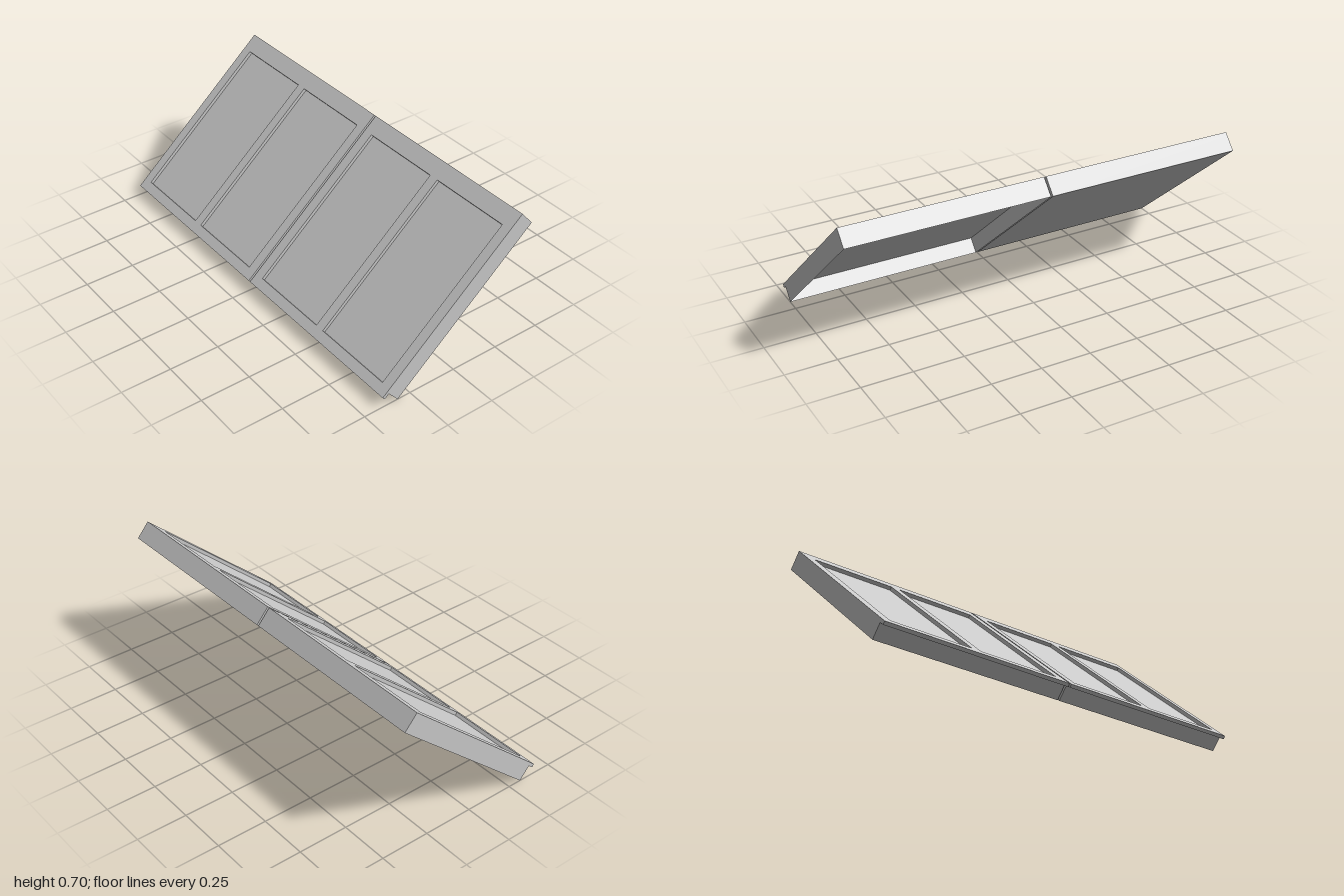
import * as THREE from 'three';

const LENGTH = 0.984;     // along the slope
const HALF_GAP = 0.005;   // half the slit between the two doors
const PLATE = 0.0175;     // thickness of the framed top plate
const DEPTH = 0.0957;     // total thickness
const LIP = 0.029;        // plate overhang at the low end
const SLOPE = Math.atan2(0.645, 0.743);

function rect(path, x0, y0, x1, y1) {
  path.moveTo(x0, y0);
  path.lineTo(x1, y0);
  path.lineTo(x1, y1);
  path.lineTo(x0, y1);
  path.closePath();
  return path;
}

// Top plate with two panel openings, top face at y = 0
function framePlate(z0, z1, panels) {
  const shape = rect(new THREE.Shape(), 0, z0, LENGTH, z1);
  for (const [a, b] of panels) shape.holes.push(rect(new THREE.Path(), 0.05, a, 0.898, b));
  const geo = new THREE.ExtrudeGeometry(shape, { depth: PLATE, bevelEnabled: false });
  return geo.rotateX(Math.PI / 2);
}

// Box body under the plate; its top is the floor of the panels
function bodyBox(z0, z1, open) {
  const w = LENGTH - LIP, h = DEPTH - PLATE;
  const geo = new THREE.BoxGeometry(w, h, z1 - z0);
  if (open) {
    // leave out the underside
    const index = Array.from(geo.index.array);
    index.splice(18, 6);
    geo.setIndex(index);
    geo.clearGroups();
  }
  return geo.translate(LIP + w / 2, -PLATE - h / 2, (z0 + z1) / 2);
}

export function createModel() {
  const model = new THREE.Group();
  const grey = new THREE.MeshStandardMaterial({ color: 0xcccccc });
  const greyOpen = new THREE.MeshStandardMaterial({ color: 0xcccccc, side: THREE.DoubleSide });

  const doors = [
    { name: 'frontDoor', z: [HALF_GAP, 1], panels: [[0.055, 0.478], [0.526, 0.95]], open: true },
    { name: 'backDoor', z: [-1, -HALF_GAP], panels: [[-0.95, -0.526], [-0.478, -0.055]], open: false },
  ];

  for (const { name, z, panels, open } of doors) {
    const door = new THREE.Group();
    door.name = name;

    const plate = new THREE.Mesh(framePlate(z[0], z[1], panels), grey);
    plate.name = 'panelFrame';
    const body = new THREE.Mesh(bodyBox(z[0], z[1], open), open ? greyOpen : grey);
    body.name = 'doorBody';
    door.add(plate, body);

    // lay the door on the slope, low end at -x
    door.rotation.z = SLOPE;
    door.position.set(-0.403, 0.0535, 0);
    model.add(door);
  }
  return model;
}
